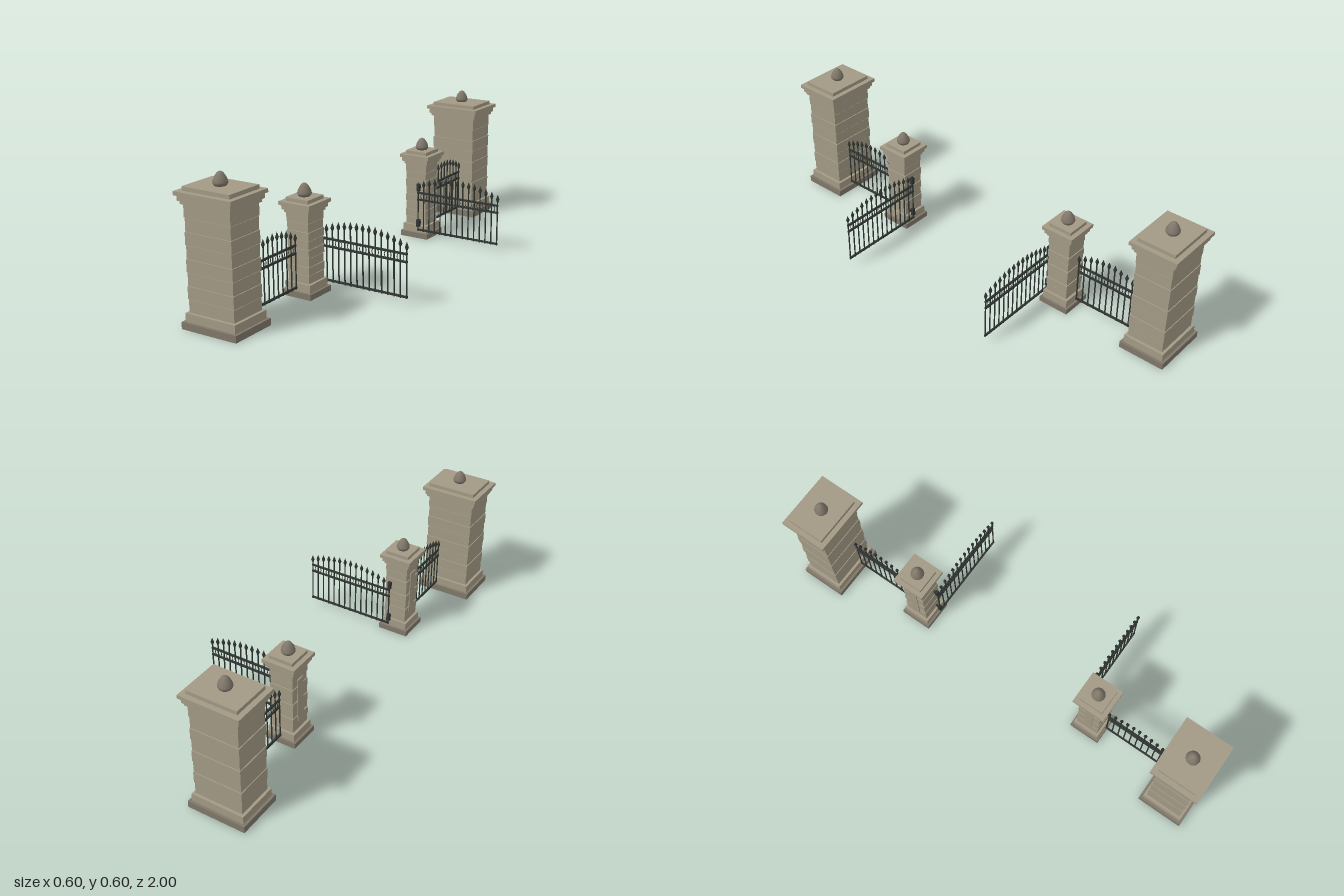
import * as THREE from 'three';

const stone = new THREE.MeshStandardMaterial({ color: 0xa29a85 });
stone.name = 'stone';
const darkStone = new THREE.MeshStandardMaterial({ color: 0x80776a });
darkStone.name = 'dark stone';
const iron = new THREE.MeshStandardMaterial({ color: 0x303633 });
iron.name = 'iron';

function add(parent, name, geometry, material, x = 0, y = 0, z = 0) {
  const mesh = new THREE.Mesh(geometry, material);
  mesh.name = name;
  mesh.position.set(x, y, z);
  parent.add(mesh);
  return mesh;
}

// A stone slab from y0 to y1, given by its half widths
function slab(parent, name, hx, hz, y0, y1, material = stone) {
  return add(parent, name, new THREE.BoxGeometry(hx * 2, y1 - y0, hz * 2), material, 0, (y0 + y1) / 2, 0);
}

// Pillar: plinth, alternating courses over a recessed core, stepped cap, egg finial.
// Each step is [half width in x, bottom, top]; dz is how much narrower it is in z.
function makePillar(name, { dz, base, body, courses, cap, finialScale }) {
  const g = new THREE.Group();
  g.name = name;
  base.forEach(([h, y0, y1], i) => slab(g, 'plinthStep', h, h - dz, y0, y1, i ? stone : darkStone));

  const [half, bottom, top] = body;
  slab(g, 'pillarCore', half - 0.004, half - 0.004 - dz, bottom, top);
  const pitch = (top - bottom) / courses;
  for (let i = 0; i < courses; i++) {
    const h = half - (i % 2 ? 0 : 0.002);
    const y = bottom + i * pitch;
    slab(g, 'stoneCourse', h, h - dz, y + 0.0012, y + pitch - 0.0012);
  }

  cap.forEach(([h, y0, y1]) => slab(g, 'capStep', h, h - dz, y0, y1));

  const profile = new THREE.SplineCurve([
    [0.022, 0], [0.028, 0.009], [0.0275, 0.018], [0.021, 0.034], [0.011, 0.048], [0, 0.054],
  ].map(([r, y]) => new THREE.Vector2(r, y))).getPoints(16);
  profile.forEach(p => { p.x = Math.max(p.x, 0); });
  const finial = add(g, 'finial', new THREE.LatheGeometry(profile, 20), darkStone, 0, cap[cap.length - 1][2], 0);
  finial.scale.setScalar(finialScale);
  return g;
}

const spearGeometry = new THREE.LatheGeometry(
  [[0, 0], [0.0035, 0], [0.0078, 0.011], [0, 0.033]].map(([r, y]) => new THREE.Vector2(r, y)), 6);
const ringGeometry = new THREE.TorusGeometry(0.0155, 0.0015, 5, 18);

// Arched railing along x, centred on x = 0
function makeRailing(name, count) {
  const g = new THREE.Group();
  g.name = name;
  const spacing = 0.0285;
  const half = spacing * (count - 1) / 2;
  for (let i = 0; i < count; i++) {
    const x = i * spacing - half;
    const tip = 0.305 - 0.039 * (x / half) ** 2;
    const barTop = tip - 0.031;
    add(g, 'picket', new THREE.CylinderGeometry(0.003, 0.003, barTop - 0.035, 6), iron, x, (barTop + 0.035) / 2, 0);
    add(g, 'spearhead', spearGeometry, iron, x, tip - 0.033, 0);
    if (i % 2) add(g, 'ring', ringGeometry, iron, x, 0.2, 0);
  }
  for (const y of [0.042, 0.184, 0.216]) {
    add(g, 'rail', new THREE.BoxGeometry(half * 2 + 0.006, 0.008, 0.007), iron, 0, y, 0);
  }
  return g;
}

export function createModel() {
  const model = new THREE.Group();
  model.name = 'gateway';

  for (const side of [1, -1]) {
    const wing = new THREE.Group();
    wing.name = side > 0 ? 'frontWing' : 'backWing';
    model.add(wing);

    // Tall outer pillar
    const tall = makePillar('tallPillar', {
      dz: 0.026,
      base: [[0.127, 0, 0.028], [0.116, 0.028, 0.062]],
      body: [0.107, 0.062, 0.476],
      courses: 8,
      cap: [[0.115, 0.476, 0.489], [0.122, 0.489, 0.51], [0.131, 0.51, 0.525], [0.109, 0.525, 0.541]],
      finialScale: 1,
    });
    tall.position.set(-0.17, 0, side * 0.895);
    wing.add(tall);

    // Short gate pillar
    const short = makePillar('gatePillar', {
      dz: 0,
      base: [[0.069, 0, 0.024], [0.06, 0.024, 0.058]],
      body: [0.052, 0.058, 0.34],
      courses: 8,
      cap: [[0.058, 0.34, 0.352], [0.065, 0.352, 0.37], [0.073, 0.37, 0.385], [0.053, 0.385, 0.4]],
      finialScale: 1,
    });
    add(short, 'sidePanel', new THREE.BoxGeometry(0.004, 0.2, 0.04), stone, -0.0525, 0.2, 0);
    short.position.set(-0.13, 0, side * 0.45);
    wing.add(short);

    // Fixed railing between the pillars
    const fence = makeRailing('sideFence', 11);
    fence.rotation.y = Math.PI / 2;
    fence.position.set(-0.13, 0, side * 0.66);
    wing.add(fence);

    // Open gate leaf with its hinges
    const gate = makeRailing('gateLeaf', 15);
    gate.position.set(0.0925, 0, side * 0.38);
    wing.add(gate);
    for (const y of [0.072, 0.24]) {
      add(wing, 'hinge', new THREE.BoxGeometry(0.014, 0.034, 0.014), iron, -0.107, y, side * 0.382);
      add(wing, 'hingeStrap', new THREE.BoxGeometry(0.008, 0.012, 0.024), iron, -0.107, y, side * 0.391);
    }
  }
  return model;
}
